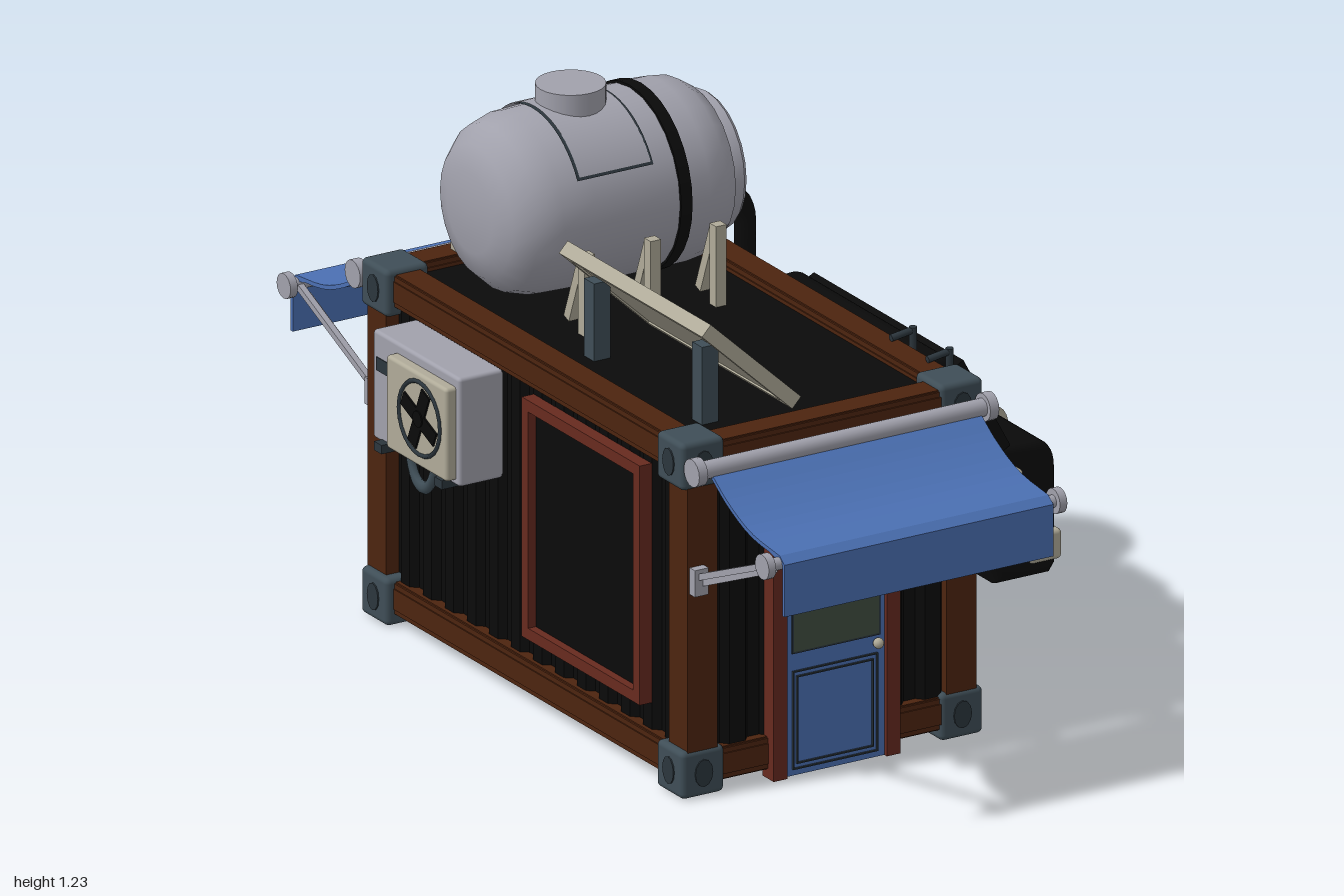
import * as THREE from 'three';
import { toCreasedNormals } from 'three/addons/utils/BufferGeometryUtils.js';
import { RoundedBoxGeometry } from 'three/addons/geometries/RoundedBoxGeometry.js';

const mat = (name, color, side = THREE.FrontSide) => {
  const m = new THREE.MeshStandardMaterial({ color, side });
  m.name = name;
  return m;
};
const M = {
  black: mat('black panel', 0x0a0a0a, THREE.DoubleSide),
  brown: mat('rust brown', 0x4d240f),
  slate: mat('slate steel', 0x3f4e57),
  dark: mat('dark steel', 0x2c363d),
  blue: mat('blue', 0x4b70b3),
  grey: mat('light grey', 0xa1a1ac, THREE.DoubleSide),
  beige: mat('beige', 0xb0ab99),
  glass: mat('green glass', 0x414e40),
  red: mat('red brown', 0x672a1f),
};
const box = (x, y, z) => new THREE.BoxGeometry(x, y, z);
const cyl = (r, h, n = 16) => new THREE.CylinderGeometry(r, r, h, n);
const shapeOf = (pts) => new THREE.Shape(pts.map(([x, y]) => new THREE.Vector2(x, y)));
const slab = (shape, depth, extra = {}) =>
  new THREE.ExtrudeGeometry(shape, { depth, bevelEnabled: false, ...extra }).translate(0, 0, -depth / 2);

function add(parent, name, geo, material, pos = [0, 0, 0], rot = [0, 0, 0]) {
  const m = new THREE.Mesh(geo, material);
  m.name = name;
  m.position.set(...pos);
  m.rotation.set(...rot);
  parent.add(m);
  return m;
}
// Straight square or round bar between two points
function bar(parent, name, a, b, t, material, round = false) {
  const A = new THREE.Vector3(...a), d = new THREE.Vector3(...b).sub(A), L = d.length();
  const m = add(parent, name, round ? cyl(t / 2, L, 10) : box(t, L, t), material);
  m.position.copy(A).addScaledVector(d, 0.5);
  m.quaternion.setFromUnitVectors(new THREE.Vector3(0, 1, 0), d.normalize());
}
// Rectangular outline in the XY plane, tx and ty being the border widths
function frame(w, h, depth, tx, ty = tx) {
  const r = (a, b) => [[-a, -b], [a, -b], [a, b], [-a, b]];
  const s = shapeOf(r(w / 2, h / 2));
  s.holes.push(new THREE.Path(r(w / 2 - tx, h / 2 - ty).map((p) => new THREE.Vector2(...p))));
  return slab(s, depth);
}
function group(parent, name) {
  const g = new THREE.Group();
  g.name = name;
  parent.add(g);
  return g;
}

function container(root) {
  const g = group(root, 'container');
  add(g, 'bodyShell', box(0.65, 0.73, 1.22), M.black, [0, 0.405, 0]);
  // Corrugated walls
  const wall = (len) => {
    const n = Math.round(len / 0.09), p = len / n, pts = [[-len / 2, -0.01]];
    for (let i = 0; i < n; i++)
      for (const [f, d] of [[0, 0], [0.3, 0], [0.45, 0.016], [0.85, 0.016]]) pts.push([-len / 2 + (i + f) * p, d]);
    pts.push([len / 2, 0], [len / 2, -0.01]);
    return slab(shapeOf(pts.reverse()), 0.66).rotateX(Math.PI / 2);
  };
  for (const s of [-1, 1]) {
    add(g, 'sideWall', wall(1.14), M.black, [s * 0.325, 0.405, 0], [0, s * Math.PI / 2, 0]);
    add(g, 'endWall', wall(0.58), M.black, [0, 0.405, s * 0.61], [0, s > 0 ? 0 : Math.PI, 0]);
  }
  // Frame beams with a raised rib, and corner castings with oval sockets
  const beam = (name, dims, pos) => {
    add(g, name, box(...dims), M.brown, pos);
    add(g, name + 'Rib', box(...dims.map((d) => (d > 0.2 ? d : d === 0.06 ? 0.074 : 0.046))), M.brown, pos);
    add(g, name + 'Edge', box(...dims.map((d) => (d > 0.2 ? d - 0.01 : 0.068))), M.brown, pos);
  };
  for (const x of [-1, 1]) {
    for (const y of [0.062, 0.755]) beam('longBeam', [0.06, 0.074, 1.2], [x * 0.32, y, 0]);
    for (const z of [-1, 1]) {
      beam('cornerPost', [0.074, 0.74, 0.074], [x * 0.32, 0.4, z * 0.6]);
      for (const y of [0.054, 0.75]) {
        add(g, 'cornerCasting', new RoundedBoxGeometry(0.106, 0.106, 0.106, 2, 0.012), M.slate, [x * 0.32, y, z * 0.588]);
        const a = add(g, 'endSocket', cyl(0.022, 0.004, 12), M.dark, [x * 0.32, y, z * 0.642], [Math.PI / 2, 0, 0]);
        const b = add(g, 'sideSocket', cyl(0.022, 0.004, 12), M.dark, [x * 0.374, y, z * 0.588], [0, 0, Math.PI / 2]);
        a.scale.z = 1.4;
        b.scale.x = 1.4;
      }
    }
  }
  for (const z of [-1, 1]) for (const y of [0.062, 0.755]) beam('endBeam', [0.6, 0.074, 0.06], [0, y, z * 0.6]);
  // Front door
  const d = group(g, 'door');
  add(d, 'doorLeaf', box(0.25, 0.71, 0.03), M.blue, [0, 0.36, 0.632]);
  add(d, 'doorWindow', box(0.21, 0.32, 0.008), M.glass, [0.002, 0.445, 0.648]);
  add(d, 'windowTrim', frame(0.218, 0.328, 0.008, 0.004), M.dark, [0.002, 0.445, 0.648]);
  for (const [w, h] of [[0.21, 0.222], [0.19, 0.198]]) add(d, 'lowerPanelTrim', frame(w, h, 0.006, 0.003), M.dark, [0, 0.13, 0.649]);
  add(d, 'doorKnob', new THREE.SphereGeometry(0.012, 12, 8), M.beige, [0.102, 0.265, 0.658]);
  for (const s of [-1, 1]) add(d, 'doorPost', box(0.034, 0.75, 0.045), M.red, [s * 0.14, 0.38, 0.635]);
  // Side hatch frame
  add(g, 'sideHatchFrame', frame(0.47, 0.54, 0.03, 0.026), M.red, [-0.357, 0.43, 0.235], [0, Math.PI / 2, 0]);
  add(g, 'sideHatchPanel', box(0.012, 0.49, 0.42), M.black, [-0.347, 0.43, 0.235]);
  // Ladder
  for (const z of [0.34, 0.485]) {
    bar(g, 'ladderRail', [0.385, 0, z], [0.385, 0.815, z], 0.018, M.dark, true);
    bar(g, 'ladderHook', [0.385, 0.808, z], [0.33, 0.8, z], 0.016, M.dark, true);
  }
  for (let i = 0; i < 8; i++) bar(g, 'ladderRung', [0.385, 0.09 + i * 0.092, 0.34], [0.385, 0.09 + i * 0.092, 0.485], 0.012, M.dark, true);
}

function awning(root, turn) {
  const g = group(root, 'awning');
  g.rotation.y = turn;
  const R = [0, 0, Math.PI / 2];
  // Sagging cloth with a hanging flap
  const top = new THREE.CatmullRomCurve3([[0.688, 0.742], [0.75, 0.702], [0.84, 0.665], [0.955, 0.65]].map(([z, y]) => new THREE.Vector3(z, y, 0))).getPoints(10).map((p) => [p.x, p.y]);
  const under = top.slice(0, -1).reverse().map(([z, y]) => [z - 0.003, y - 0.009]);
  const s = shapeOf([...top, [0.975, 0.635], [0.975, 0.518], [0.966, 0.518], [0.966, 0.632], ...under]);
  add(g, 'cloth', slab(s, 0.665).rotateY(-Math.PI / 2), M.blue, [0.005, 0, 0]);
  add(g, 'rollTube', cyl(0.02, 0.72), M.grey, [0, 0.752, 0.675], R);
  add(g, 'outerTube', cyl(0.014, 0.72), M.grey, [0, 0.632, 0.952], R);
  for (const x of [-0.36, 0.36]) {
    add(g, 'rollCap', cyl(0.031, 0.022), M.grey, [x, 0.752, 0.675], R);
    add(g, 'outerCap', cyl(0.028, 0.018), M.grey, [x, 0.632, 0.952], R);
  }
  for (const x of [-0.335, 0.335]) {
    bar(g, 'armUpper', [x, 0.5, 0.645], [x, 0.632, 0.952], 0.014, M.grey);
    bar(g, 'armLower', [x * 0.97, 0.485, 0.645], [x * 0.97, 0.61, 0.93], 0.014, M.grey);
    add(g, 'armBracket', box(0.034, 0.06, 0.025), M.grey, [x, 0.492, 0.645]);
  }
}

function tank(root) {
  const g = group(root, 'tank');
  g.position.set(0, 0.987, -0.336);
  const R = [0, 0, -Math.PI / 2];
  const prof = [[0, -0.295], [0.09, -0.292], [0.145, -0.275], [0.182, -0.235], [0.198, -0.18], [0.201, -0.1], [0.201, 0.18], [0.195, 0.225], [0.172, 0.26], [0.152, 0.27], [0.154, 0.293], [0.147, 0.302], [0.132, 0.302], [0.125, 0.294], [0, 0.294]];
  add(g, 'tankBody', toCreasedNormals(new THREE.LatheGeometry(prof.map(([r, y]) => new THREE.Vector2(r, y)), 24), 0.6), M.grey, [0, 0, 0], R);
  add(g, 'strap', cyl(0.206, 0.028, 32), M.black, [0.118, 0, 0], R);
  // Saddle plate with dark seam, and filler neck
  const saddle = (r, w, a) => new THREE.CylinderGeometry(r, r, w, 20, 1, true, Math.PI * 1.5 - a, 2 * a);
  add(g, 'saddleSeam', saddle(0.2035, 0.188, 1.07), M.dark, [-0.042, 0, 0], R);
  add(g, 'saddlePlate', saddle(0.206, 0.176, 1.04), M.grey, [-0.042, 0, 0], R);
  add(g, 'fillerNeck', cyl(0.075, 0.06, 24), M.grey, [-0.042, 0.212, 0]);
  // Cradle posts and braces
  for (const x of [-0.16, 0.003, 0.165])
    for (const s of [-1, 1]) {
      bar(g, 'cradlePost', [x, -0.22, s * 0.254], [x, -0.035, s * 0.254], 0.026, M.beige);
      bar(g, 'cradleBrace', [x, -0.04, s * 0.25], [x, -0.2, s * 0.19], 0.022, M.beige);
    }
  // Outlet pipe
  const c = new THREE.CatmullRomCurve3([[0.28, -0.097], [0.34, -0.097], [0.37, -0.102], [0.387, -0.135], [0.389, -0.2], [0.389, -0.36]].map(([x, y]) => new THREE.Vector3(x, y, 0)));
  add(g, 'outletPipe', new THREE.TubeGeometry(c, 24, 0.023, 12), M.black);
}

function solarPanel(root) {
  const g = group(root, 'solarPanel');
  g.position.set(-0.14, 0.9, 0.257);
  g.rotation.z = -0.75;
  add(g, 'panelFrame', frame(0.305, 0.57, 0.032, 0.022).rotateX(-Math.PI / 2), M.beige);
  add(g, 'panelBack', box(0.27, 0.008, 0.53), M.beige, [0, -0.008, 0]);
  add(g, 'panelCells', box(0.27, 0.008, 0.53), M.blue, [0, 0.002, 0]);
  for (let i = 0; i < 4; i++)
    for (let j = 0; j < 3; j++) {
      const p = [-0.07 + j * 0.075, 0.0075, -0.165 + i * 0.11];
      if (j === 1) add(g, 'cellNode', cyl(0.011, 0.004, 8), M.black, p);
      else for (const a of [0, 1]) add(g, 'cellMark', a ? box(0.036, 0.004, 0.012) : box(0.012, 0.004, 0.036), M.grey, p);
    }
  for (const z of [0.04, 0.47]) bar(root, 'panelLeg', [-0.21, 0.77, z], [-0.21, 0.945, z], 0.04, M.slate);
}

function airConditioner(root) {
  const g = group(root, 'airConditioner');
  g.position.set(-0.395, 0.592, -0.295);
  add(g, 'unitBox', new RoundedBoxGeometry(0.11, 0.245, 0.345, 2, 0.008), M.grey);
  add(g, 'fanCover', new RoundedBoxGeometry(0.04, 0.21, 0.24, 2, 0.008), M.beige, [-0.06, -0.005, 0.04]);
  add(g, 'fanRing', new THREE.TorusGeometry(0.082, 0.005, 6, 24), M.dark, [-0.08, 0, 0.055], [0, Math.PI / 2, 0]);
  for (let i = 0; i < 4; i++) {
    const a = add(g, 'fanBlade', box(0.008, 0.06, 0.034).translate(0, 0.04, 0), M.black, [-0.08, 0, 0.055]);
    a.rotation.x = i * Math.PI / 2 + 0.4;
  }
  add(g, 'fanHub', cyl(0.018, 0.012), M.black, [-0.081, 0, 0.055], [0, 0, Math.PI / 2]);
  add(g, 'ventSlot', box(0.008, 0.03, 0.06), M.dark, [-0.053, 0.05, -0.125]);
  for (const z of [-0.12, 0.12]) add(g, 'wallBracket', box(0.13, 0.02, 0.03), M.dark, [-0.01, -0.125, z]);
  add(g, 'hose', new THREE.TorusGeometry(0.05, 0.01, 8, 16, Math.PI).scale(1, 1.5, 1), M.slate, [-0.02, -0.12, -0.03], [Math.PI, Math.PI / 2, 0]);
}

function cab(root) {
  const g = group(root, 'cab');
  const s = new THREE.Shape();
  s.moveTo(0.33, 0.17);
  s.lineTo(0.335, 0.7);
  s.lineTo(0.48, 0.71);
  s.quadraticCurveTo(0.51, 0.71, 0.525, 0.67);
  s.lineTo(0.63, 0.475);
  s.lineTo(0.715, 0.472);
  s.quadraticCurveTo(0.762, 0.47, 0.764, 0.41);
  s.lineTo(0.764, 0.19);
  s.lineTo(0.75, 0.17);
  s.lineTo(0.615, 0.17);
  s.bezierCurveTo(0.61, 0.285, 0.485, 0.285, 0.48, 0.17);
  const body = slab(s, 0.57, { bevelEnabled: true, bevelSize: 0.018, bevelThickness: 0.018, bevelOffset: -0.018, bevelSegments: 3, curveSegments: 8 });
  add(g, 'cabBody', toCreasedNormals(body, 0.6), M.black);
  // Recessed windscreen inside its surround
  add(g, 'windscreenSurround', frame(0.595, 0.245, 0.034, 0.068, 0.022).rotateY(Math.PI / 2), M.black, [0.579, 0.578, 0], [0, 0, 0.494]);
  add(g, 'windscreen', box(0.008, 0.202, 0.46), M.glass, [0.576, 0.576, 0], [0, 0, 0.494]);
  // Grille strip wrapping over the nose
  const h = new THREE.Shape();
  h.moveTo(0.655, 0.45);
  h.lineTo(0.655, 0.478);
  h.lineTo(0.73, 0.48);
  h.quadraticCurveTo(0.779, 0.476, 0.78, 0.42);
  h.lineTo(0.78, 0.26);
  h.lineTo(0.72, 0.26);
  add(g, 'grille', toCreasedNormals(slab(h, 0.17), 0.6), M.beige);
  add(g, 'grilleTrim', frame(0.14, 0.15, 0.006, 0.004), M.dark, [0.779, 0.35, 0], [0, Math.PI / 2, 0]);
  add(g, 'bumper', new RoundedBoxGeometry(0.08, 0.068, 0.62, 2, 0.01), M.beige, [0.734, 0.235, 0]);
  for (const z of [-1, 1]) {
    const side = [[0.385, 0.41], [0.395, 0.655], [0.49, 0.66], [0.515, 0.645], [0.635, 0.425], [0.625, 0.41]];
    add(g, 'sideWindow', slab(shapeOf(side), 0.008), M.glass, [0, 0, z * 0.304]);
    // Door handle and side marker
    const pill = (name, r, len, m, x, y, depth) => {
      add(g, name, new THREE.CapsuleGeometry(r, len, 4, 12), m, [x, y, z * 0.303], [0, 0, Math.PI / 2]).scale.z = depth;
    };
    pill('doorHandle', 0.02, 0.055, M.beige, 0.45, 0.375, 0.6);
    pill('sideMarker', 0.018, 0.045, M.slate, 0.675, 0.28, 0.4);
    pill('sideMarkerCentre', 0.012, 0.045, M.black, 0.675, 0.28, 0.75);
    // Lamps
    add(g, 'headlight', new THREE.SphereGeometry(0.05, 20, 12).scale(0.45, 1, 1), M.beige, [0.762, 0.342, z * 0.15]);
    add(g, 'headlightRing', new THREE.TorusGeometry(0.051, 0.007, 8, 24), M.beige, [0.766, 0.342, z * 0.15], [0, Math.PI / 2, 0]);
    add(g, 'signalRing', new THREE.TorusGeometry(0.02, 0.006, 8, 16), M.dark, [0.762, 0.4, z * 0.23], [0, Math.PI / 2, 0]);
    // Mirrors
    bar(g, 'mirrorStem', [0.6, 0.425, z * 0.3], [0.63, 0.425, z * 0.335], 0.014, M.beige, true);
    add(g, 'mirror', new RoundedBoxGeometry(0.026, 0.045, 0.05, 2, 0.01), M.beige, [0.632, 0.425, z * 0.34]);
  }
}

export function createModel() {
  const model = new THREE.Group();
  model.name = 'containerTruckHouse';
  const root = group(model, 'house');
  root.position.x = -0.165;
  root.rotation.y = -0.058;
  container(root);
  awning(root, 0);
  awning(root, Math.PI);
  tank(root);
  solarPanel(root);
  airConditioner(root);
  cab(root);
  return model;
}
